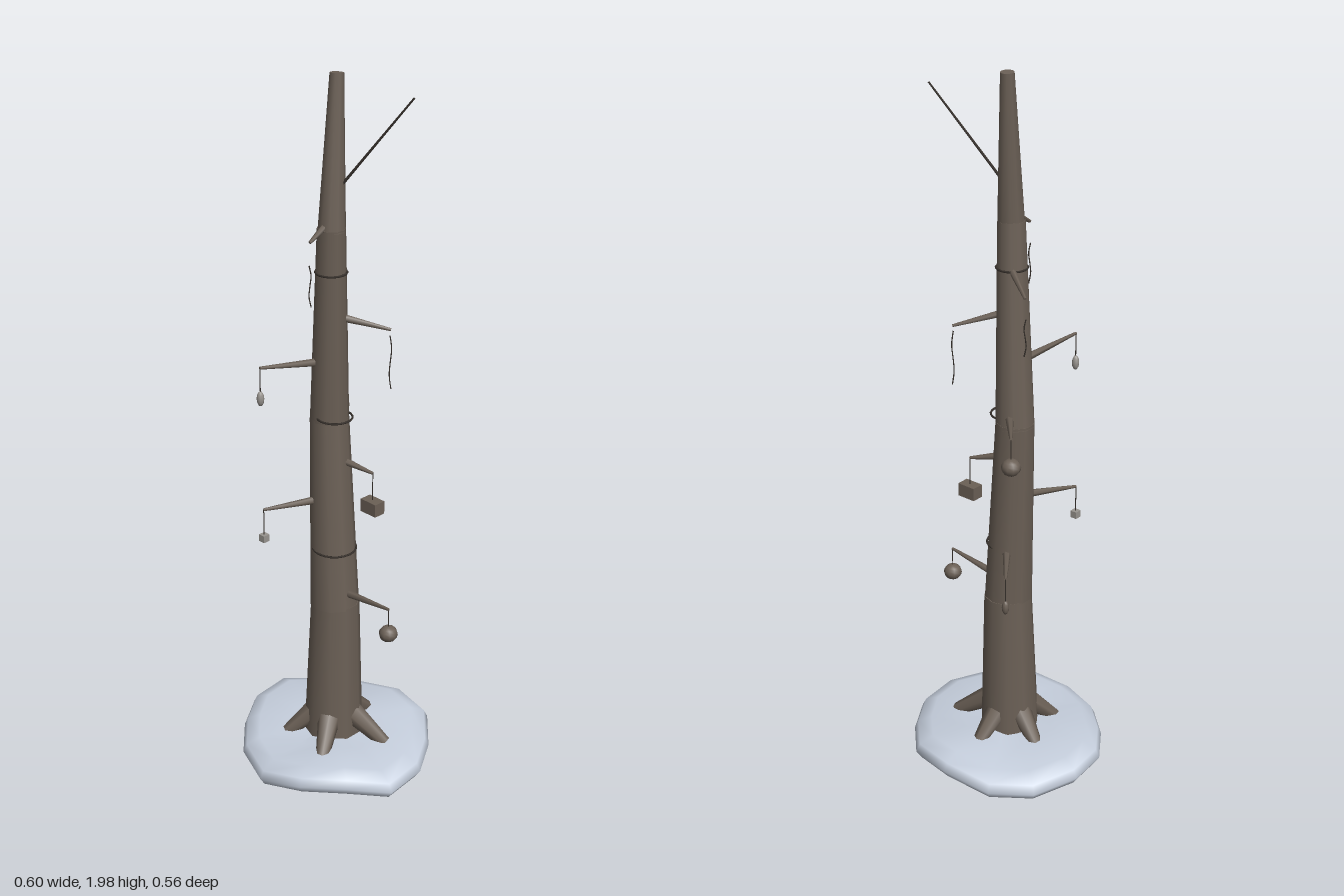
import * as THREE from 'three';

const mat = (name, color, side = THREE.FrontSide) => {
  const m = new THREE.MeshStandardMaterial({ color, side });
  m.name = name;
  return m;
};

export function createModel() {
  const bark = mat('bark', 0x6b6056);
  const wire = mat('darkWire', 0x38322d);
  const snow = mat('snow', 0xc6cfdd);
  const pale = mat('paleOrnament', 0x98948f);
  const model = new THREE.Group();
  const V = (a) => new THREE.Vector3(...a);

  const add = (name, geo, material, pos = [0, 0, 0], parent = model) => {
    const m = new THREE.Mesh(geo, material);
    m.name = name;
    m.position.set(...pos);
    parent.add(m);
    return m;
  };

  // Tapered rod between two points
  const rod = (name, a, b, r0, r1, material, sides = 6, parent = model) => {
    const p = V(a), d = V(b).sub(p);
    const m = add(name, new THREE.CylinderGeometry(r1, r0, d.length(), sides), material, [0, 0, 0], parent);
    m.position.copy(p).addScaledVector(d, 0.5);
    m.quaternion.setFromUnitVectors(new THREE.Vector3(0, 1, 0), d.normalize());
    return m;
  };

  // Snow mound: closed rings following an uneven outline
  const outline = [
    [0, -0.284], [0.129, -0.262], [0.221, -0.17], [0.286, -0.066], [0.298, 0.061],
    [0.22, 0.159], [0.123, 0.245], [-0.005, 0.279], [-0.13, 0.234], [-0.218, 0.152],
    [-0.286, 0.054], [-0.298, -0.066], [-0.238, -0.179], [-0.136, -0.255]];
  const profile = [[0.001, 0.025], [0.45, 0.022], [0.8, 0.035], [0.95, 0.052], [1, 0.075],
    [0.96, 0.098], [0.82, 0.117], [0.45, 0.118], [0.001, 0.12]];
  const n = outline.length, pos = [], idx = [];
  profile.forEach(([s, y]) => outline.forEach(([x, z], i) => {
    const a = (i / n) * Math.PI * 2;
    pos.push(x * s, y + s * (0.012 * Math.sin(a * 3 + 0.6) + 0.006 * Math.cos(a * 5)), z * s);
  }));
  for (let k = 0; k < profile.length - 1; k++) {
    for (let i = 0; i < n; i++) {
      const j = (i + 1) % n, a = k * n + i, b = k * n + j, c = a + n, d = b + n;
      idx.push(a, b, c, b, d, c);
    }
  }
  // Orient the faces outward
  for (let i = 0; i < idx.length; i += 3) [idx[i + 1], idx[i + 2]] = [idx[i + 2], idx[i + 1]];
  const mound = new THREE.BufferGeometry();
  mound.setAttribute('position', new THREE.Float32BufferAttribute(pos, 3));
  mound.setIndex(idx);
  // The outline runs clockwise from above: the outer side must face away from the centre
  const p = (i) => new THREE.Vector3().fromArray(pos, i * 3);
  const t = idx.slice(3 * 2 * n * 4, 3 * 2 * n * 4 + 3).map(p);
  const normal = t[1].clone().sub(t[0]).cross(t[2].clone().sub(t[0]));
  if (normal.dot(new THREE.Vector3(t[0].x, 0, t[0].z)) < 0) mound.setIndex(idx.slice().reverse());
  mound.computeVertexNormals();
  add('snowMound', mound, snow);

  // Trunk: four leaning, tapering sections
  const trunk = new THREE.Group();
  trunk.name = 'trunk';
  model.add(trunk);
  [
    [[0, 0.06, 0], [0.004, 0.54, -0.004], 0.086, 0.068],
    [[0.004, 0.53, -0.002], [-0.028, 1.085, -0.013], 0.068, 0.053],
    [[-0.028, 1.07, -0.013], [0.004, 1.62, 0.01], 0.053, 0.037],
    [[0.005, 1.61, 0.01], [-0.008, 1.999, -0.02], 0.036, 0.018],
  ].forEach(([a, b, r0, r1], i) => rod('trunkSection' + (i + 1), a, b, r0, r1, bark, 10, trunk));

  // Roots spreading over the snow
  [[0, -0.143], [0.157, -0.054], [0.093, 0.135], [-0.08, 0.107], [-0.132, -0.04]].forEach(([x, z]) =>
    rod('root', [x * 0.3, 0.185, z * 0.3], [x, 0.105, z], 0.034, 0.018, bark, 7));

  // Branches, each with a string and an ornament
  const ball = () => new THREE.SphereGeometry(0.026, 10, 8).scale(1, 0.9, 1);
  const drop = () => new THREE.SphereGeometry(0.01, 8, 6).scale(1, 2.1, 1);
  [
    ['ball', [0.05, 0.58, 0], [0.218, 0.6, 0.003], 0.525, ball(), bark],
    ['ball', [-0.04, 1.105, -0.05], [-0.14, 1.117, -0.162], 1.04, ball(), bark],
    ['drop', [-0.03, 0.7, -0.05], [-0.125, 0.707, -0.167], 0.62, drop(), bark],
    ['drop', [-0.03, 1.25, 0.02], [-0.061, 1.275, 0.2], 1.19, drop(), pale],
    ['cube', [-0.03, 0.85, 0.03], [-0.098, 0.842, 0.165], 0.757, new THREE.BoxGeometry(0.02, 0.02, 0.02), pale],
    ['box', [0.02, 0.968, -0.02], [0.1, 0.948, -0.05], 0.85, new THREE.BoxGeometry(0.055, 0.037, 0.035), bark],
  ].forEach(([name, a, b, y, geo, m]) => {
    rod('branch', a, b, 0.011, 0.004, bark);
    rod('string', b, [b[0], y, b[2]], 0.0018, 0.0018, wire, 4);
    add(name + 'Ornament', geo, m, [b[0], y, b[2]]);
  });

  // Upper twigs with loose hanging wires
  [
    [[0.02, 1.375, -0.02], [0.107, 1.345, -0.103], 1.33, 1.18],
    [[-0.01, 1.505, -0.01], [-0.115, 1.465, -0.078], 1.41, 1.31],
    [[0.005, 1.63, 0.03], [0.008, 1.598, 0.088], 1.54, 1.43],
  ].forEach(([a, b, y0, y1]) => {
    rod('twig', a, b, 0.01, 0.004, bark);
    const path = [0, 1, 2, 3, 4].map((i) => new THREE.Vector3(
      b[0] + 0.003 * Math.sin(i * 2), y0 + (y1 - y0) * i / 4, b[2] + 0.003 * Math.cos(i * 2)));
    add('hangingWire', new THREE.TubeGeometry(new THREE.CatmullRomCurve3(path), 10, 0.002, 4), wire);
  });

  // Long bare twig near the top
  rod('topTwig', [0.01, 1.71, 0], [0.187, 1.958, -0.087], 0.004, 0.0025, wire, 5);

  // Wire loops around the trunk
  [[0.003, 0.705, -0.002, 0.06], [0, 1.095, -0.005, 0.048], [-0.002, 1.5, 0.005, 0.041]].forEach(([x, y, z, r]) => {
    add('wireLoop', new THREE.TorusGeometry(r, 0.003, 5, 20).rotateX(Math.PI / 2), wire, [x, y, z]);
  });

  return model;
}
